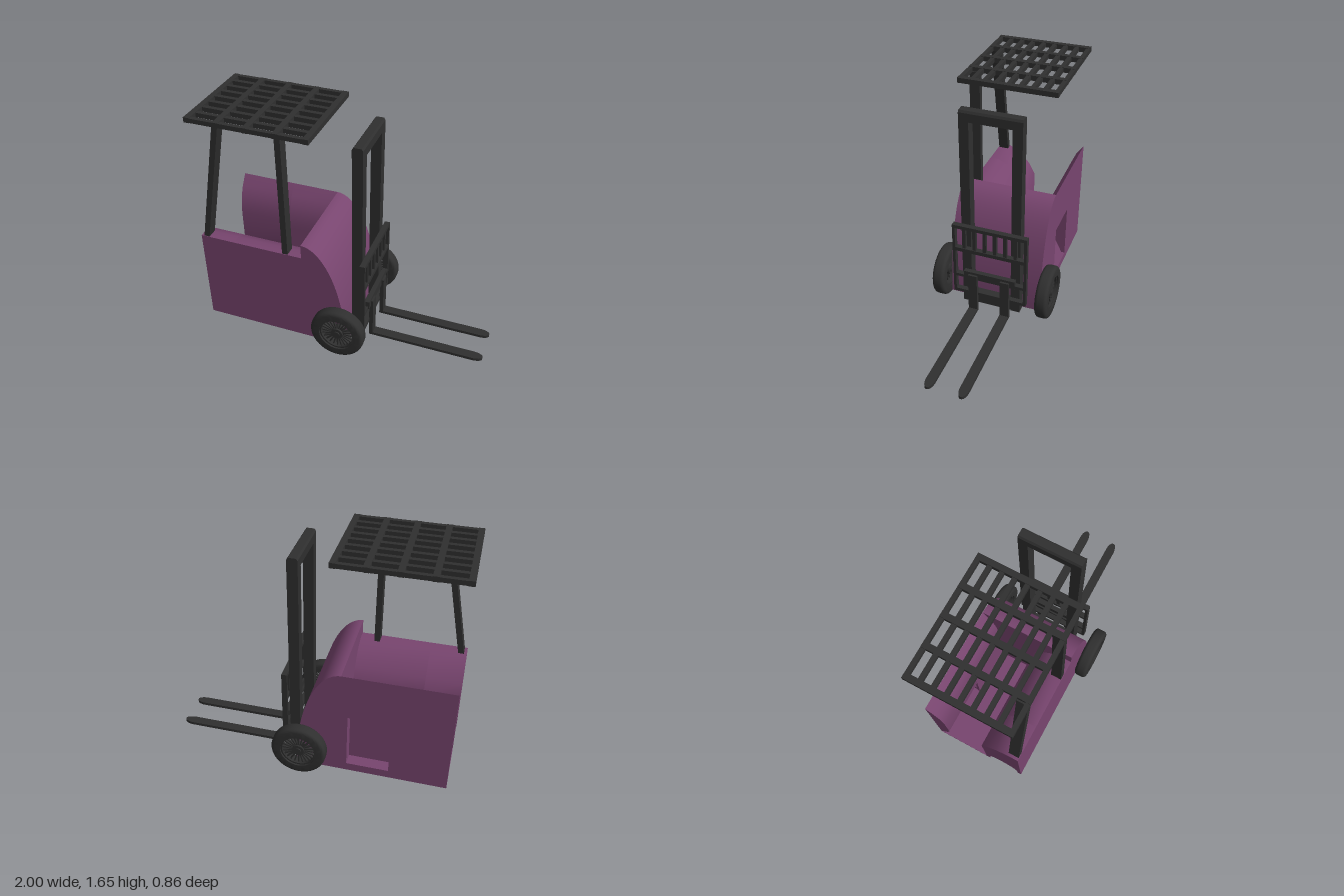
import * as THREE from 'three';
import { toCreasedNormals } from 'three/addons/utils/BufferGeometryUtils.js';

const purple = new THREE.MeshStandardMaterial({ color: 0x78456f });
purple.name = 'plum paint';
const black = new THREE.MeshStandardMaterial({ color: 0x2f2f2f });
black.name = 'charcoal';

function add(parent, name, geometry, material) {
  const mesh = new THREE.Mesh(geometry, material);
  mesh.name = name;
  parent.add(mesh);
  return mesh;
}

// Box given by its min and max on each axis
function box(parent, name, material, x0, x1, y0, y1, z0, z1) {
  const g = new THREE.BoxGeometry(x1 - x0, y1 - y0, z1 - z0);
  g.translate((x0 + x1) / 2, (y0 + y1) / 2, (z0 + z1) / 2);
  return add(parent, name, g, material);
}

// Cross-section of [z, y] points swept along x
function sweepX(points, x0, x1) {
  const shape = new THREE.Shape(points.map(([z, y]) => new THREE.Vector2(-z, y)));
  const g = new THREE.ExtrudeGeometry(shape, { depth: x1 - x0, bevelEnabled: false });
  g.rotateY(Math.PI / 2).translate(x0, 0, 0);
  return toCreasedNormals(g, 0.5);
}

// Profile of [x, y] points swept along z
function sweepZ(points, z0, z1) {
  const shape = new THREE.Shape(points.map(([x, y]) => new THREE.Vector2(x, y)));
  const g = new THREE.ExtrudeGeometry(shape, { depth: z1 - z0, bevelEnabled: false });
  g.translate(0, 0, z0);
  return toCreasedNormals(g, 0.5);
}

function createBody() {
  const body = new THREE.Group();
  body.name = 'body';

  // Rounded hood: quarter ellipse
  const hood = [[-0.25, 0.03]];
  for (let i = 0; i <= 24; i++) {
    const a = (i / 24) * Math.PI / 2;
    hood.push([-0.25 + 0.31 * Math.cos(a), 0.03 + 0.81 * Math.sin(a)]);
  }
  add(body, 'hood', sweepZ(hood, -0.34, 0.34), purple);

  // Standing platform
  box(body, 'floor', purple, -1, -0.25, 0.03, 0.04, -0.34, 0.06);

  // Padded wall on the far side, with a pocket in its outer face
  const upper = [[-0.235, 0.55], [-0.24, 0.62], [-0.255, 0.69], [-0.285, 0.76], [-0.34, 0.84]];
  add(body, 'sideWallRear',
    sweepX([[-0.34, 0.03], [-0.31, 0.1], [-0.26, 0.2], [-0.235, 0.3], ...upper], -1, -0.595), purple);
  add(body, 'sideWallTop', sweepX([[-0.34, 0.503], [-0.235, 0.503], ...upper], -0.595, -0.25), purple);
  box(body, 'pocketFrontWall', purple, -0.3, -0.25, 0.03, 0.503, -0.34, -0.235);
  box(body, 'pocketSill', purple, -0.595, -0.3, 0.03, 0.09, -0.34, -0.235);
  box(body, 'pocketBack', purple, -0.6, -0.3, 0.03, 0.503, -0.255, -0.235);

  // Seat-side block with an arched caster well at the rear
  const top = [[0.34, 0.03], [0.34, 0.735], [0.27, 0.735], [0.18, 0.69], [0.1, 0.6], [0.05, 0.505], [0.05, 0.03]];
  const arch = [];
  for (let i = 0; i <= 12; i++) {
    const a = Math.PI * (1 - i / 12);
    arch.push([0.195 + 0.115 * Math.cos(a), 0.1 + 0.11 * Math.sin(a)]);
  }
  add(body, 'seatBlockRear', sweepX([...top, [0.08, 0.03], ...arch, [0.31, 0.03]], -1, -0.75), purple);
  add(body, 'seatBlock', sweepX(top, -0.75, -0.25), purple);
  return body;
}

// Ring of rectangular-ish section with rounded shoulders, axis along z
function ring(rIn, rOut, half, round) {
  const pts = [[rIn, half], [rIn, -half]];
  for (const side of [-1, 1]) {
    for (let i = 0; i <= 5; i++) {
      const t = (i / 5) * Math.PI / 2;
      const a = side < 0 ? t : Math.PI / 2 - t;
      pts.push([rOut - round + round * Math.sin(a), side * (half - round + round * Math.cos(a))]);
    }
  }
  pts.push([rIn, half]);
  const g = new THREE.LatheGeometry(pts.map(([r, y]) => new THREE.Vector2(r, y)), 48);
  return toCreasedNormals(g.rotateX(Math.PI / 2), 0.6);
}

function disc(r, width, sides = 24) {
  return new THREE.CylinderGeometry(r, r, width, sides).rotateX(Math.PI / 2);
}

function createWheel() {
  const wheel = new THREE.Group();
  wheel.name = 'driveWheel';
  add(wheel, 'tyre', ring(0.125, 0.193, 0.045, 0.025), black);
  add(wheel, 'rim', ring(0.115, 0.13, 0.032, 0.003), black);
  add(wheel, 'hub', disc(0.042, 0.06), black);
  add(wheel, 'hubCap', disc(0.022, 0.075), black);
  for (let i = 0; i < 24; i++) {
    const spoke = add(wheel, 'spoke', new THREE.BoxGeometry(0.09, 0.009, 0.016).translate(0.078, 0, 0.01), black);
    spoke.rotation.z = (i / 24) * Math.PI * 2;
  }
  return wheel;
}

function createCaster() {
  const caster = new THREE.Group();
  caster.name = 'rearCaster';
  for (const z of [0.14, 0.235]) {
    const tyre = add(caster, 'casterTyre', ring(0.03, 0.085, 0.044, 0.02), black);
    tyre.position.z = z;
  }
  const axle = add(caster, 'casterAxle', disc(0.035, 0.23), black);
  axle.position.z = 0.195;
  caster.position.set(-0.88, 0.085, 0);
  return caster;
}

function createRoof() {
  const roof = new THREE.Group();
  roof.name = 'overheadGuard';
  // Lengthwise and crosswise bars
  for (let i = 0; i < 9; i++) {
    const z = -0.33 + i * 0.0825;
    box(roof, 'roofSlat', black, -1, -0.16, 1.617, 1.648, z - 0.015, z + 0.015);
  }
  for (let i = 0; i < 5; i++) {
    const x = -0.98 + i * 0.2;
    box(roof, 'roofCrossbar', black, x - 0.02, x + 0.02, 1.615, 1.65, -0.345, 0.345);
  }
  // Upright and leaning posts
  box(roof, 'frontPost', black, -0.39, -0.35, 0.73, 1.62, 0.262, 0.336);
  add(roof, 'rearPost',
    sweepZ([[-0.98, 0.735], [-0.94, 0.735], [-0.77, 1.62], [-0.81, 1.62]], 0.262, 0.336), black);
  return roof;
}

function createMast() {
  const mast = new THREE.Group();
  mast.name = 'mast';
  const rail = [[0.065, 0.04], [0.138, 0.04], [0.138, 1.56], [0.128, 1.575], [0.075, 1.575], [0.065, 1.56]];
  for (const s of [-1, 1]) {
    add(mast, 'mastRail', sweepZ(rail, s * 0.181 - 0.034, s * 0.181 + 0.034), black);
  }
  const cap = [[0.065, 1.5], [0.138, 1.5], [0.138, 1.56], [0.128, 1.575], [0.075, 1.575], [0.065, 1.56]];
  add(mast, 'mastTop', sweepZ(cap, -0.15, 0.15), black);
  box(mast, 'mastBottom', black, 0.065, 0.138, 0.045, 0.117, -0.15, 0.15);
  return mast;
}

function createCarriage() {
  const carriage = new THREE.Group();
  carriage.name = 'forkCarriage';
  // Load backrest frame
  for (const [y0, y1] of [[0.695, 0.72], [0.505, 0.533], [0.282, 0.304], [0.143, 0.166]]) {
    box(carriage, 'backrestBar', black, 0.138, 0.176, y0, y1, -0.27, 0.27);
  }
  for (const s of [-1, 1]) {
    box(carriage, 'backrestStile', black, 0.138, 0.176, 0.143, 0.72, s * 0.262 - 0.01, s * 0.262 + 0.01);
  }
  for (let i = 0; i < 6; i++) {
    const z = (i - 2.5) * 0.075;
    box(carriage, 'backrestSlat', black, 0.145, 0.17, 0.53, 0.7, z - 0.012, z + 0.012);
  }
  box(carriage, 'forkCrossbar', black, 0.15, 0.184, 0.285, 0.345, -0.19, 0.19);

  // Forks with rounded tips
  const blade = new THREE.Shape();
  blade.moveTo(0.175, -0.033);
  blade.lineTo(0.94, -0.033);
  blade.quadraticCurveTo(1, -0.026, 1, 0);
  blade.quadraticCurveTo(1, 0.026, 0.94, 0.033);
  blade.lineTo(0.175, 0.033);
  for (const s of [-1, 1]) {
    const fork = new THREE.Group();
    fork.name = 'fork';
    fork.position.z = s * 0.119;
    box(fork, 'forkShank', black, 0.172, 0.2, 0.008, 0.327, -0.033, 0.033);
    const g = new THREE.ExtrudeGeometry(blade, { depth: 0.021, bevelEnabled: false });
    g.rotateX(-Math.PI / 2).translate(0, 0.007, 0);
    add(fork, 'forkBlade', g, black);
    carriage.add(fork);
  }
  return carriage;
}

export function createModel() {
  const model = new THREE.Group();
  model.name = 'forklift';
  model.add(createBody(), createCaster(), createRoof(), createMast(), createCarriage());
  for (const s of [-1, 1]) {
    const wheel = createWheel();
    wheel.position.set(0.025, 0.198, s * 0.387);
    if (s < 0) wheel.rotation.y = Math.PI;
    model.add(wheel);
  }
  return model;
}
